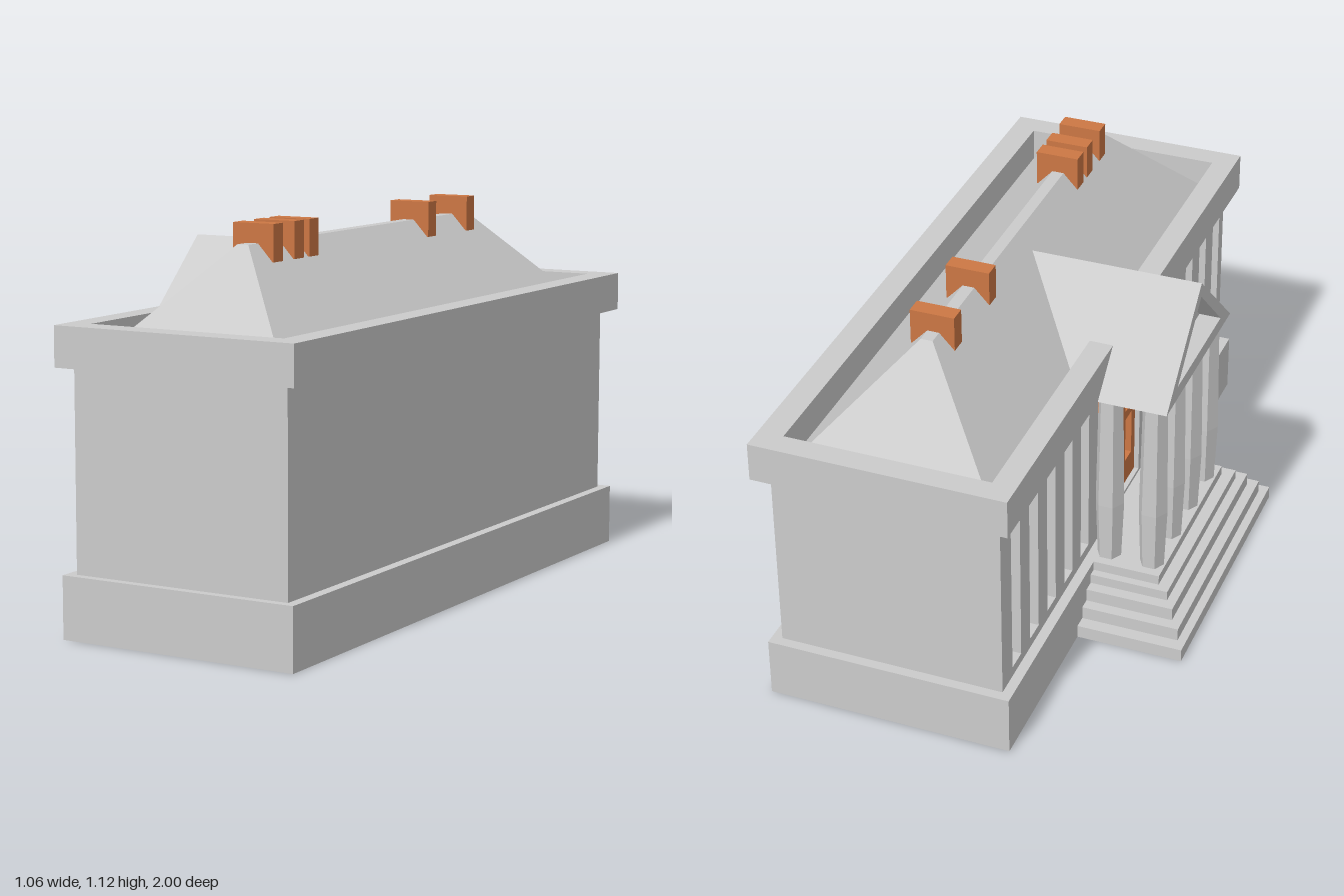
import * as THREE from 'three';

const mat = (color) => new THREE.MeshStandardMaterial({ color, flatShading: true });

export function createModel() {
  const model = new THREE.Group();
  const grey = mat(0xcccccc), orange = mat(0xcc7744), glass = mat(0x7f9a9a);

  const add = (name, geo, material = grey, parent = model) => {
    const mesh = new THREE.Mesh(geo, material);
    mesh.name = name;
    parent.add(mesh);
    return mesh;
  };
  // box given by its limits on each axis
  const block = (name, [x0, x1], [y0, y1], [z0, z1], material, parent) => {
    const geo = new THREE.BoxGeometry(x1 - x0, y1 - y0, z1 - z0);
    geo.translate((x0 + x1) / 2, (y0 + y1) / 2, (z0 + z1) / 2);
    return add(name, geo, material, parent);
  };
  const path = (pts, Type = THREE.Shape) => new Type(pts.map((p) => new THREE.Vector2(...p)));
  const rect = (a0, a1, b0, b1, Type) => path([[a0, b0], [a1, b0], [a1, b1], [a0, b1]], Type);
  // outline drawn in (z, y), running from xBack out to xFront
  const extrudeX = (shape, xBack, xFront) => {
    const geo = new THREE.ExtrudeGeometry(shape, { depth: xBack - xFront, bevelEnabled: false });
    return geo.rotateY(-Math.PI / 2).translate(xBack, 0, 0);
  };

  // plinth and solid body behind the entrance wall
  block('plinth', [-0.21, 0.52], [0, 0.18], [-0.985, 0.99]);
  block('body', [-0.12, 0.49], [0.18, 0.75], [-0.955, 0.965]);

  // entrance wall with window slots and a doorway
  const wall = rect(-0.955, 0.965, 0.18, 0.75);
  const windows = new THREE.Group();
  windows.name = 'windows';
  for (const start of [-0.88, 0.32]) {
    for (let i = 0; i < 5; i++) {
      const z0 = start + i * 0.135, z1 = z0 + 0.066;
      wall.holes.push(rect(z0, z1, 0.21, 0.73, THREE.Path));
      block('windowPane', [-0.125, -0.117], [0.21, 0.73], [z0, z1], glass, windows);
    }
  }
  const dz0 = -0.2, dz1 = 0.17, dTop = 0.68;
  wall.holes.push(rect(dz0, dz1, 0.19, dTop, THREE.Path));
  add('entranceWall', extrudeX(wall, -0.12, -0.18));
  model.add(windows);

  // double door: frame with glazed openings
  const door = new THREE.Group();
  door.name = 'door';
  const frame = rect(dz0, dz1, 0.19, dTop);
  const paneW = (dz1 - dz0 - 0.03 * 5) / 4;
  for (let i = 0; i < 4; i++) {
    const z0 = dz0 + 0.03 + i * (paneW + 0.03);
    for (const [y0, y1] of [[0.27, 0.42], [0.45, 0.56], [0.59, 0.65]]) {
      frame.holes.push(rect(z0, z0 + paneW, y0, y1, THREE.Path));
    }
  }
  add('doorFrame', extrudeX(frame, -0.14, -0.165), orange, door);
  block('doorGlass', [-0.145, -0.125], [0.19, dTop], [dz0, dz1], glass, door);
  model.add(door);

  // cornice ring around the sunken roof
  const ring = rect(-0.22, 0.53, -1, 1);
  ring.holes.push(rect(-0.15, 0.455, -0.925, 0.93, THREE.Path));
  add('cornice', new THREE.ExtrudeGeometry(ring, { depth: 0.115, bevelEnabled: false })
    .rotateX(-Math.PI / 2).translate(0, 0.75, 0));

  // hipped roof: a box whose top is drawn in to the ridge
  const roof = new THREE.BoxGeometry(1, 1, 1);
  const pos = roof.attributes.position;
  for (let i = 0; i < pos.count; i++) {
    const top = pos.getY(i) > 0, right = pos.getX(i) > 0, front = pos.getZ(i) > 0;
    pos.setXYZ(i,
      top ? (right ? 0.17 : 0.135) : (right ? 0.455 : -0.15),
      top ? 1.07 : 0.765,
      top ? (front ? 0.64 : -0.645) : (front ? 0.925 : -0.93));
  }
  roof.computeVertexNormals();
  add('hippedRoof', roof);

  // chimneys along the ridge
  for (const z of [-0.575, -0.325, 0.375, 0.455, 0.565]) {
    block('chimney', [0.09, 0.22], [1.02, 1.125], [z - 0.025, z + 0.025], orange);
  }

  // gabled portico roof with a recessed pediment
  const gable = [[-0.315, 0.75], [0.265, 0.75], [-0.025, 1.02]];
  const pediment = path(gable);
  pediment.holes.push(path([[-0.22, 0.79], [0.17, 0.79], [-0.025, 0.975]], THREE.Path));
  add('pedimentFrame', extrudeX(pediment, -0.36, -0.425));
  add('porticoRoof', extrudeX(path(gable), 0.09, -0.36));

  // six-sided columns, slightly swollen below the middle
  const profile = [[0, 0.18], [0.037, 0.18], [0.044, 0.37], [0.037, 0.75], [0, 0.75]]
    .map((p) => new THREE.Vector2(...p));
  const columnGeo = new THREE.LatheGeometry(profile, 6, Math.PI / 2);
  const columnSpots = [-0.25, -0.093, 0.063, 0.22].map((z) => [-0.37, z]);
  columnSpots.push([-0.237, -0.25], [-0.237, 0.22]);
  for (const [x, z] of columnSpots) add('column', columnGeo).position.set(x, 0, z);

  // steps rising on three sides to the portico floor
  const steps = [
    [-0.53, 0, 0.04, -0.445, 0.42],
    [-0.505, 0.04, 0.08, -0.405, 0.385],
    [-0.475, 0.08, 0.12, -0.37, 0.355],
    [-0.447, 0.12, 0.15, -0.335, 0.32],
    [-0.412, 0.15, 0.18, -0.31, 0.285],
  ];
  for (const [x, y0, y1, z0, z1] of steps) block('step', [x, -0.2], [y0, y1], [z0, z1]);

  return model;
}
